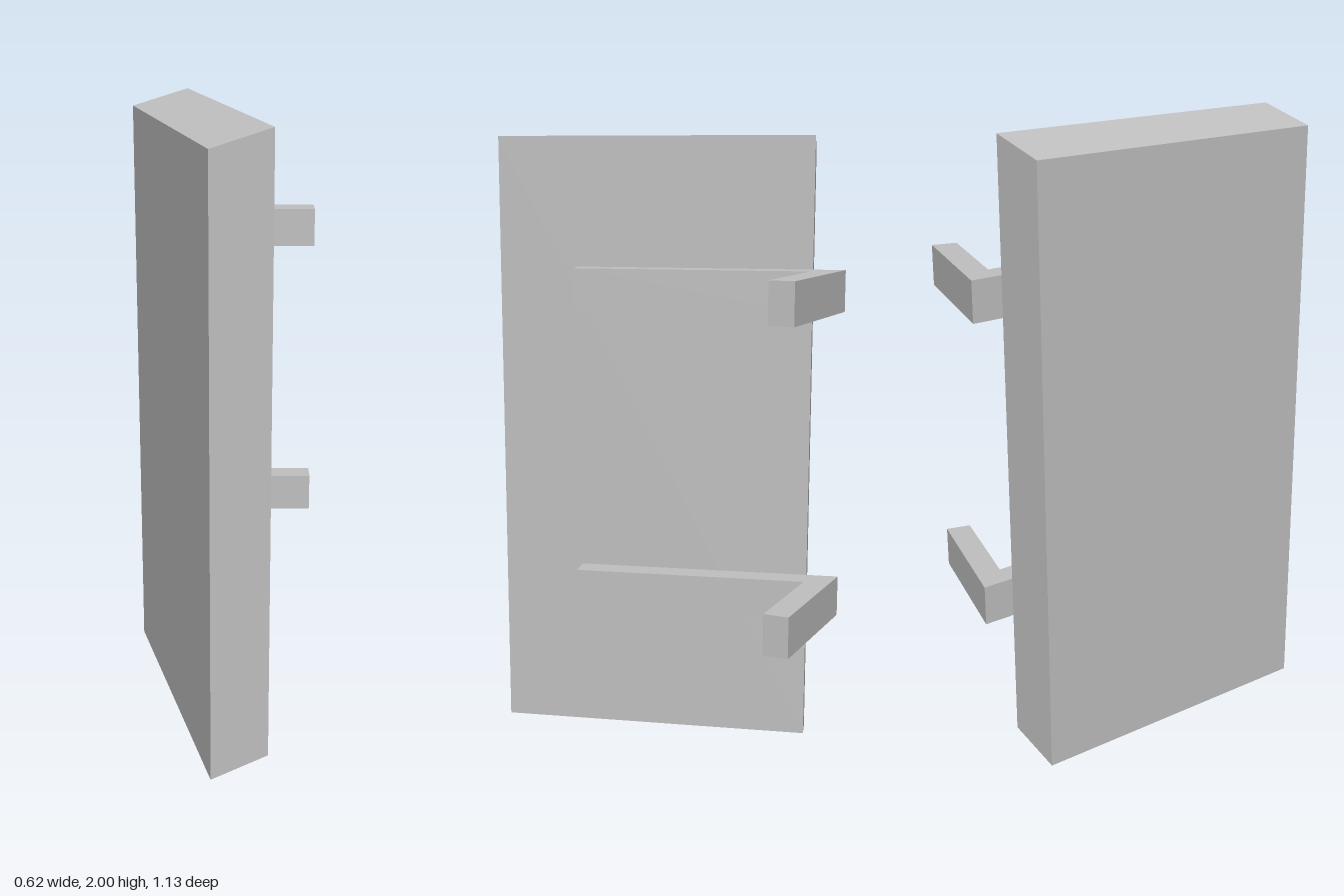
import * as THREE from 'three';

// Extrudes a plan outline of [x, z] points downward from the given top height.
function extrudePlan(points, top, height) {
  const shape = new THREE.Shape(points.map(([x, z]) => new THREE.Vector2(x, z)));
  const geometry = new THREE.ExtrudeGeometry(shape, { depth: height, bevelEnabled: false });
  return geometry.rotateX(Math.PI / 2).translate(0, top, 0);
}

export function createModel() {
  const group = new THREE.Group();
  const grey = new THREE.MeshStandardMaterial({ color: 0xc0c0c0 });
  grey.name = 'plain grey';

  // Slanted panel: the inner face sits slightly higher than the outer one
  const panelPlan = [[-0.31, -0.41], [-0.13, -0.469], [0.13, 0.506], [-0.05, 0.565]];
  const panelGeometry = extrudePlan(panelPlan, 1.95, 1.95);
  const position = panelGeometry.attributes.position;
  for (let i = 0; i < position.count; i++) {
    const inner = position.getX(i) - 0.267 * position.getZ(i) > -0.1;
    if (inner) position.setY(i, position.getY(i) + 0.05);
  }
  panelGeometry.computeVertexNormals();
  const panel = new THREE.Mesh(panelGeometry, grey);
  panel.name = 'panel';
  group.add(panel);

  // Two bent brackets lying against the inner face
  const bracketPlan = [
    [-0.156, -0.567], [0.306, -0.567], [0.306, -0.487],
    [-0.053, -0.487], [0.138, 0.235], [0.063, 0.254],
  ];
  for (const [name, top] of [['lowerBracket', 0.6], ['upperBracket', 1.59]]) {
    const bracket = new THREE.Mesh(extrudePlan(bracketPlan, top, 0.13), grey);
    bracket.name = name;
    group.add(bracket);
  }
  return group;
}
